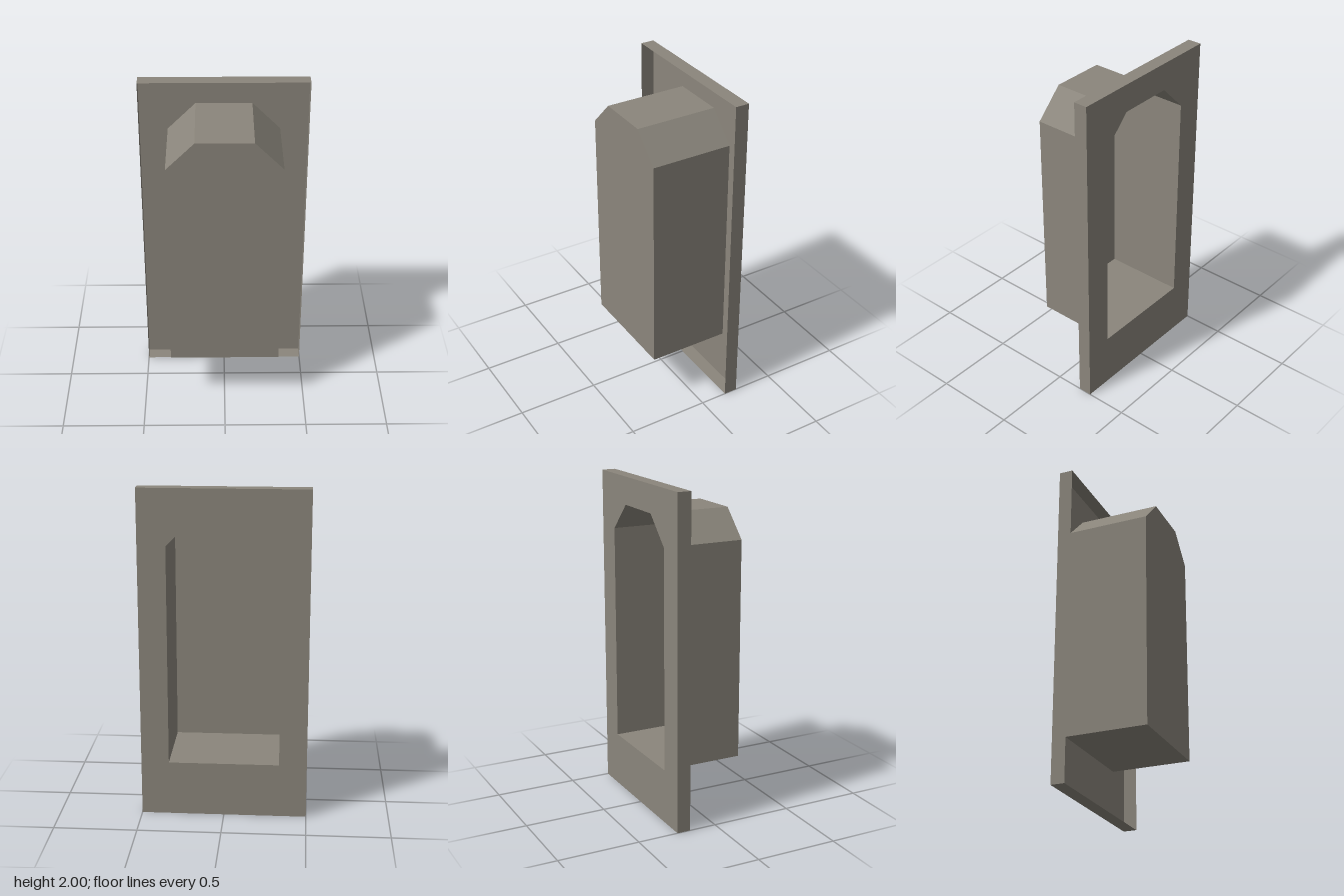
import * as THREE from 'three';

const T = 1 / 12; // layout module
const BACK = -3 * T, RIM = -2 * T, FRONT = 3 * T;

const stone = new THREE.MeshStandardMaterial({ color: 0x8b867c, side: THREE.DoubleSide });
stone.name = 'warm grey stone';

// Counter-clockwise outlines of the panel and the chamfered recess
const panelOutline = [[-6, 0], [6, 0], [6, 24], [-6, 24]];
const recessOutline = [[-4, 4], [4, 4], [4, 20], [2, 22], [-2, 22], [-4, 20]];
const toPoints = (outline) => outline.map(([x, y]) => new THREE.Vector2(x * T, y * T));

// Open band of flat quads following an outline from z0 to z1
function bandGeometry(points, z0, z1) {
  const pos = [];
  points.forEach((a, i) => {
    const b = points[(i + 1) % points.length];
    pos.push(a.x, a.y, z0, b.x, b.y, z0, b.x, b.y, z1);
    pos.push(a.x, a.y, z0, b.x, b.y, z1, a.x, a.y, z1);
  });
  const geo = new THREE.BufferGeometry();
  geo.setAttribute('position', new THREE.Float32BufferAttribute(pos, 3));
  geo.computeVertexNormals();
  return geo;
}

export function createModel() {
  const model = new THREE.Group();
  model.name = 'wallNiche';
  const add = (name, geometry) => {
    const mesh = new THREE.Mesh(geometry, stone);
    mesh.name = name;
    model.add(mesh);
  };

  const panel = toPoints(panelOutline);
  const recess = toPoints(recessOutline);

  // Wall panel with the recess opening cut through it
  const panelShape = new THREE.Shape(panel);
  panelShape.holes.push(new THREE.Path(recess));
  add('wallPanel', new THREE.ShapeGeometry(panelShape).translate(0, 0, BACK));

  // Thin rim around the panel, open towards the front
  add('panelRim', bandGeometry(panel, BACK, RIM));

  // Recess shell: side walls and the closed end
  add('recessWalls', bandGeometry(recess, BACK, FRONT));
  add('recessEnd', new THREE.ShapeGeometry(new THREE.Shape(recess)).translate(0, 0, FRONT));

  return model;
}
